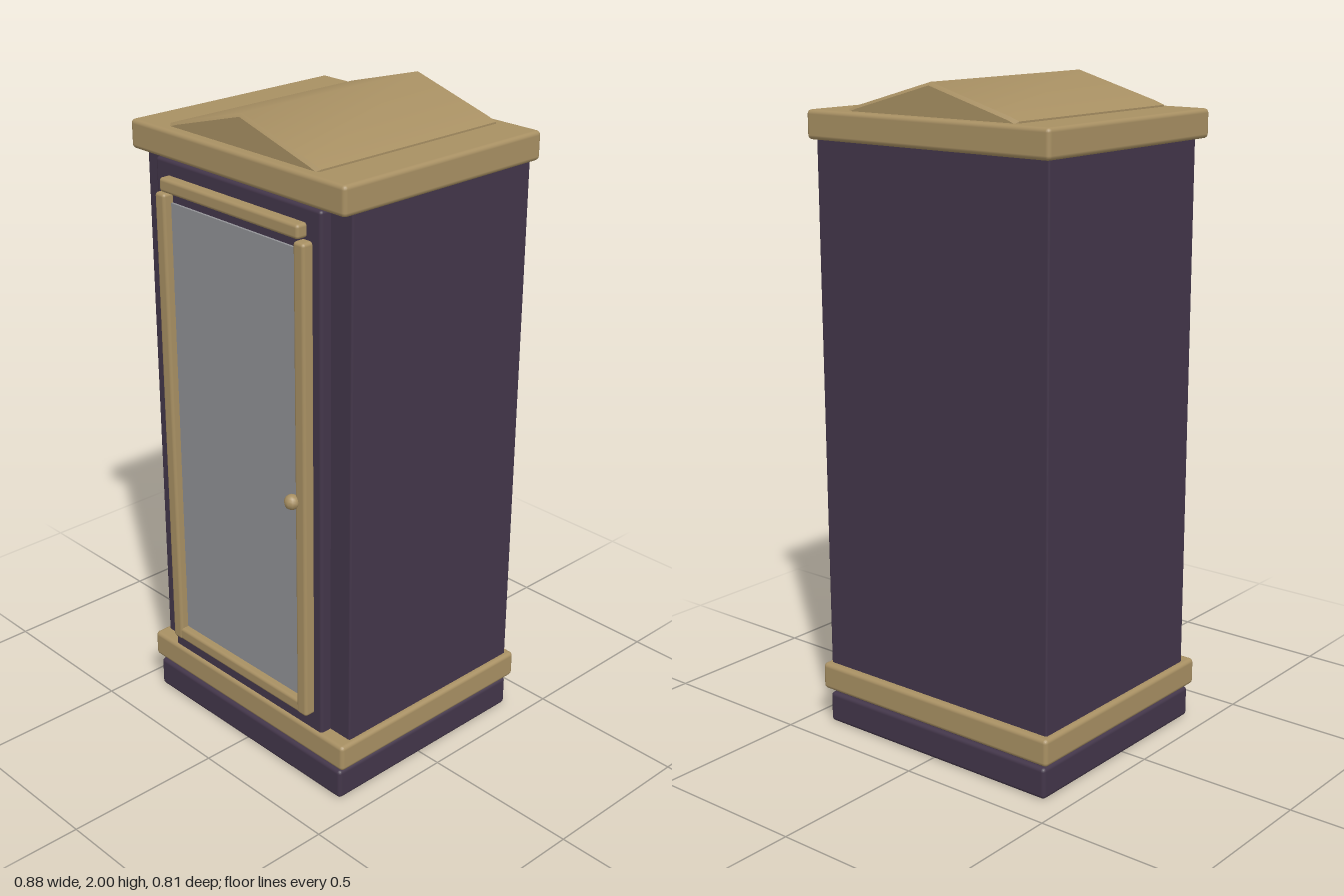
import * as THREE from 'three';
import { toCreasedNormals } from 'three/addons/utils/BufferGeometryUtils.js';
import { RoundedBoxGeometry } from 'three/addons/geometries/RoundedBoxGeometry.js';

export function createModel() {
  const group = new THREE.Group();
  const material = (name, color) => {
    const m = new THREE.MeshStandardMaterial({ color });
    m.name = name;
    return m;
  };
  const wood = material('dark purple wood', 0x43364a);
  const brass = material('antique brass', 0xa89063);
  const glass = material('grey glass', 0x919296);

  const add = (name, geometry, mat) => {
    const mesh = new THREE.Mesh(geometry, mat);
    mesh.name = name;
    group.add(mesh);
    return mesh;
  };
  // Box with softened edges, given by its extents on each axis
  const block = (name, mat, [x0, x1], [y0, y1], [z0, z1], bevel) => {
    const g = new RoundedBoxGeometry(x1 - x0, y1 - y0, z1 - z0, 2, bevel);
    g.translate((x0 + x1) / 2, (y0 + y1) / 2, (z0 + z1) / 2);
    return add(name, g, mat);
  };

  // Cabinet
  block('plinth', wood, [-0.425, 0.425], [0, 0.097], [-0.395, 0.345], 0.012);
  block('body', wood, [-0.425, 0.425], [0.105, 1.83], [-0.385, 0.306], 0.006);
  block('plinthNeck', wood, [-0.41, 0.41], [0.08, 0.13], [-0.38, 0.33], 0.005);
  block('frontPanel', wood, [-0.344, 0.344], [0.17, 1.815], [0.28, 0.342], 0.01);

  // Mouldings around the bottom and top
  block('baseMoulding', brass, [-0.442, 0.442], [0.11, 0.195], [-0.408, 0.352], 0.013);
  block('topMoulding', brass, [-0.442, 0.442], [1.82, 1.906], [-0.408, 0.352], 0.013);

  // Gabled roof with bevelled ends
  const gable = new THREE.Shape([
    [-0.3, 1.89], [0.3, 1.89], [0.3, 1.905], [0.275, 1.914], [0, 1.991],
    [-0.275, 1.914], [-0.3, 1.905],
  ].map(([x, y]) => new THREE.Vector2(x, y)));
  const roof = new THREE.ExtrudeGeometry(gable, {
    depth: 0.675, bevelEnabled: true, bevelThickness: 0.009, bevelSize: 0.009, bevelSegments: 1,
  });
  roof.translate(0, 0, -0.365);
  add('roof', toCreasedNormals(roof, 0.7), brass);

  // Door: glass pane, brass frame and knob
  add('glassPane', new THREE.BoxGeometry(0.55, 1.42, 0.009).translate(0, 0.985, 0.345), glass);
  for (const side of [-1, 1]) {
    const x = [side * 0.27, side * 0.312].sort((a, b) => a - b);
    block('doorStile', brass, x, [0.25, 1.725], [0.335, 0.376], 0.01);
  }
  block('doorTopRail', brass, [-0.29, 0.29], [1.73, 1.772], [0.335, 0.376], 0.01);
  block('doorBottomRail', brass, [-0.3, 0.3], [0.25, 0.292], [0.335, 0.374], 0.01);
  add('knob', new THREE.SphereGeometry(0.023, 10, 8).translate(0.266, 0.957, 0.382), brass);

  return group;
}
